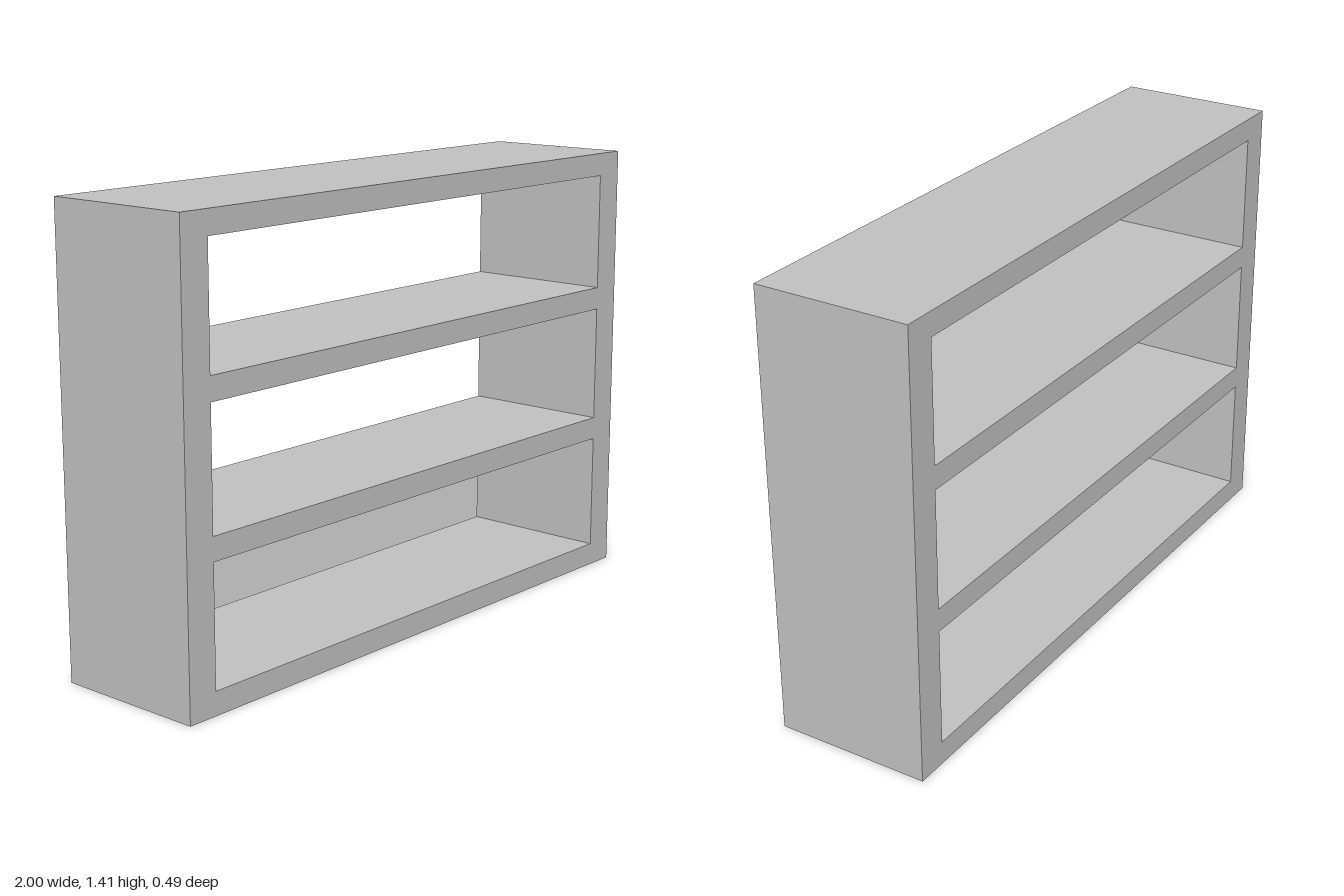
import * as THREE from 'three';

const HEIGHT = 1.41, DEPTH = 0.494, BOARD = 0.073, SIDE = 0.1;
const BAYS = 3;

// Adds the corners of a rectangle to a shape or path
function rect(path, x0, y0, x1, y1) {
  path.moveTo(x0, y0);
  path.lineTo(x1, y0);
  path.lineTo(x1, y1);
  path.lineTo(x0, y1);
  path.closePath();
  return path;
}

export function createModel() {
  const group = new THREE.Group();
  group.name = 'openShelf';

  const grey = new THREE.MeshStandardMaterial({ color: 0xc0c0c0 });
  grey.name = 'grey';

  // Frame outline with one open bay between each pair of boards
  const outline = rect(new THREE.Shape(), -1, 0, 1, HEIGHT);
  const bayHeight = (HEIGHT - BOARD * (BAYS + 1)) / BAYS;
  for (let i = 0; i < BAYS; i++) {
    const y = BOARD + i * (bayHeight + BOARD);
    outline.holes.push(rect(new THREE.Path(), -1 + SIDE, y, 1 - SIDE, y + bayHeight));
  }

  // Sides, top, base and shelves as one solid piece
  const geometry = new THREE.ExtrudeGeometry(outline, { depth: DEPTH, bevelEnabled: false });
  geometry.translate(0, 0, -DEPTH / 2);
  const frame = new THREE.Mesh(geometry, grey);
  frame.name = 'shelfFrame';
  group.add(frame);

  return group;
}
